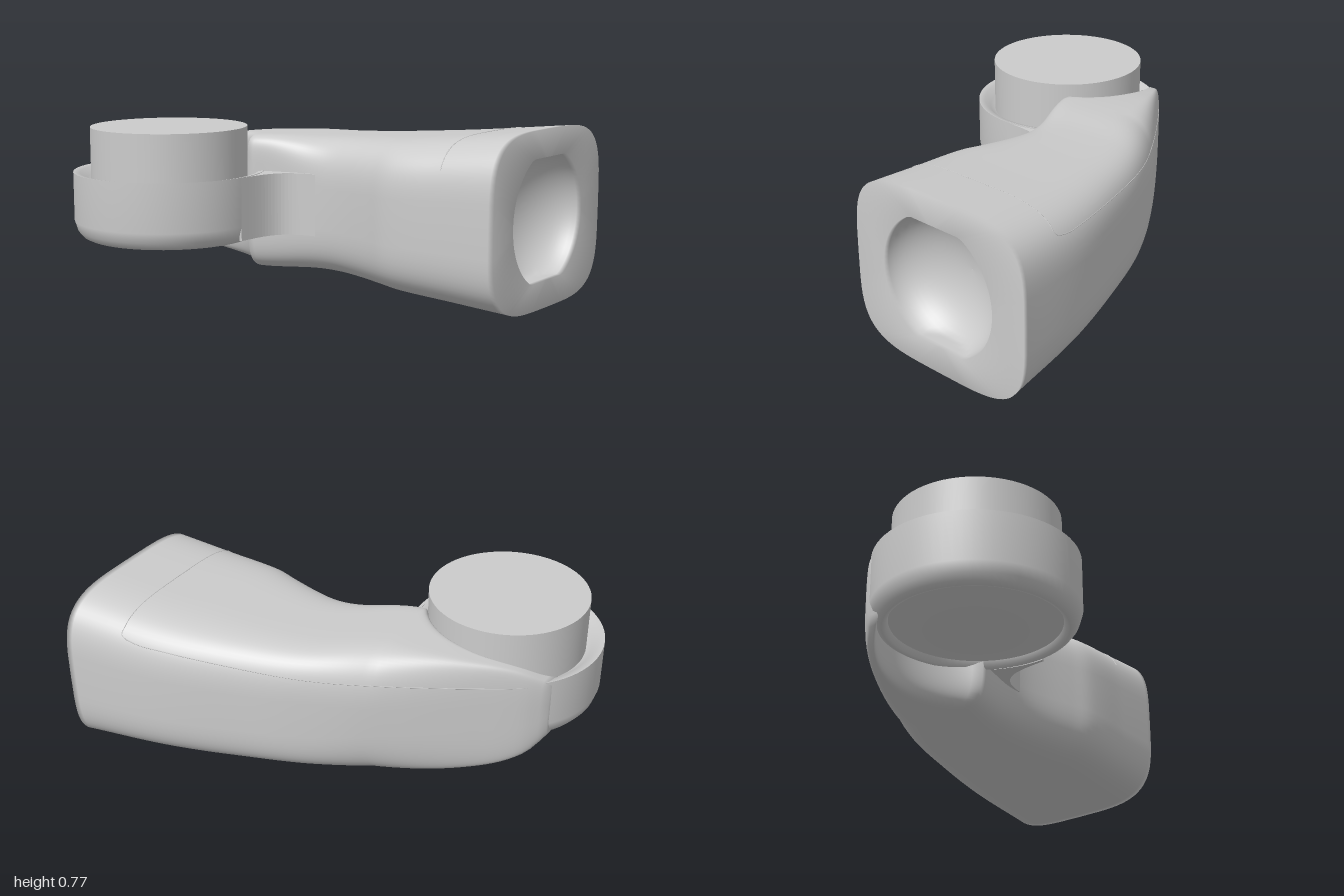
import * as THREE from 'three';

const mat = new THREE.MeshStandardMaterial({ color: 0xcccccc, side: THREE.DoubleSide });
const HUB = { x: -0.362, z: -0.566, r: 0.434 };
const SEGS = 72;

// Smooth lookup through [z, value] pairs in ascending z
function table(pairs) {
  const f = new THREE.CubicInterpolant(pairs.map(p => p[0]), pairs.map(p => p[1]), 1);
  return z => f.evaluate(z)[0];
}
const rightEdge = table([[-0.91, -0.08], [-0.85, -0.012], [-0.8, 0.03], [-0.68, 0.118], [-0.53, 0.225],
  [-0.4, 0.315], [-0.21, 0.438], [0, 0.54], [0.19, 0.61], [0.555, 0.72], [1, 0.792]]);
const innerEdge = table([[-0.28, -0.152], [-0.15, -0.112], [-0.03, -0.08], [0.08, -0.072], [0.2, -0.085],
  [0.38, -0.127], [0.45, -0.147], [0.5, -0.153], [0.75, -0.14], [1, -0.125]]);
const topEdge = table([[-0.91, 0.53], [-0.8, 0.61], [-0.6, 0.665], [-0.4, 0.69], [-0.2, 0.7], [0, 0.695],
  [0.5, 0.725], [1, 0.775]]);
const bottomEdge = table([[-0.91, 0.26], [-0.86, 0.195], [-0.8, 0.155], [-0.6, 0.1], [-0.3, 0.072],
  [0, 0.075], [0.5, 0.04], [1, 0]]);
// The back of the inner side is cut by an arc around the hub cap
const leftEdge = z => z > -0.28 ? innerEdge(z)
  : -0.325 + Math.sqrt(Math.max(0, 0.355 ** 2 - (z + 0.59) ** 2));

// Corner exponents: softer toward the back outside, sharper toward the back inside
const outerExp = z => 0.5 + 0.1 * THREE.MathUtils.smoothstep(-z, 0, 0.3);
const innerExp = (z, s) => 0.5 - (s > 0 ? 0.3 : 0.1) * THREE.MathUtils.smoothstep(-z, -0.15, 0.25);

// Point on the rounded-square cross-section of the body
function bodyPoint(z, t) {
  const l = leftEdge(z), r = rightEdge(z), b = bottomEdge(z), h = topEdge(z);
  const c = Math.cos(t), s = Math.sin(t);
  const e = c < 0 ? innerExp(z, s) : outerExp(z);
  const pw = v => Math.sign(v) * Math.abs(v) ** e;
  return new THREE.Vector3((l + r) / 2 + pw(c) * (r - l) / 2, (b + h) / 2 + pw(s) * (h - b) / 2, z);
}

const ring = f => Array.from({ length: SEGS }, (_, j) => f(j / SEGS * Math.PI * 2));

// Skin a list of closed rings
function loft(rings) {
  const pos = [], idx = [];
  rings.forEach(r => r.forEach(p => pos.push(p.x, p.y, p.z)));
  for (let i = 0; i < rings.length - 1; i++) {
    for (let j = 0; j < SEGS; j++) {
      const k = (j + 1) % SEGS;
      const a = i * SEGS + j, b = i * SEGS + k, c = a + SEGS, d = b + SEGS;
      idx.push(a, c, b, b, c, d);
    }
  }
  const g = new THREE.BufferGeometry();
  g.setAttribute('position', new THREE.Float32BufferAttribute(pos, 3));
  g.setIndex(idx);
  g.computeVertexNormals();
  return g;
}

function lathe(points) {
  return new THREE.LatheGeometry(points.map(p => new THREE.Vector2(...p)), 72);
}

export function createModel() {
  const model = new THREE.Group();
  const add = (name, geometry, parent = model) => {
    const mesh = new THREE.Mesh(geometry, mat);
    mesh.name = name;
    parent.add(mesh);
    return mesh;
  };

  // Curved body in one skin: concave front bowl, flat rim, long bent side walls, closed back tip
  const opening = (r, z) => ring(t => new THREE.Vector3(0.33 + r * Math.cos(t),
    0.388 + THREE.MathUtils.clamp(r * Math.sin(t), -0.267, 0.267), z));
  const rings = [];
  for (let i = 0; i <= 14; i++) {
    const a = i / 14 * Math.PI / 2;
    rings.push(opening(Math.max(0.001, 0.3 * Math.sin(a)), 1 - 0.2 * Math.cos(a)));
  }
  const N = 76;
  for (let i = 0; i <= N; i++) rings.push(ring(t => bodyPoint(1 - 1.91 * i / N, t)));
  rings.push(ring(() => new THREE.Vector3(-0.12, 0.395, -0.912)));
  add('body', loft(rings));

  // Round hub at the back end
  const hub = new THREE.Group();
  hub.name = 'hub';
  hub.position.set(HUB.x, 0, HUB.z);
  model.add(hub);
  add('hubRing', lathe([[0.355, 0.27], [0.365, 0.245], [0.38, 0.24], [0.4, 0.25], [0.42, 0.275], [HUB.r, 0.32],
    [HUB.r, 0.54]]), hub);
  add('hubLip', lathe([[HUB.r, 0.54], [0.405, 0.535], [0.378, 0.505], [0.35, 0.49]]), hub);
  add('hubUnderside', lathe([[0.215, 0.235], [0.355, 0.27]]), hub);
  add('hubBoss', lathe([[0, 0.235], [0.215, 0.235]]), hub);
  add('hubCap', new THREE.CylinderGeometry(0.355, 0.355, 0.28, 72), hub).position.y = 0.6;

  // Fillet joining hub and body
  const s = new THREE.Shape();
  s.moveTo(HUB.x, HUB.z + HUB.r);
  s.bezierCurveTo(-0.2, -0.13, -0.1, -0.13, -0.075, 0.05);
  s.lineTo(0.1, -0.1);
  s.absarc(HUB.x, HUB.z, 0.42, Math.PI * 0.15, Math.PI * 0.5, false);
  const web = new THREE.ExtrudeGeometry(s, { depth: 0.28, bevelEnabled: false, curveSegments: 20 });
  web.rotateX(Math.PI / 2);
  add('hubFillet', web).position.y = 0.538;

  // Fine seam of the top panel: along the outer side, then across the front
  const seam = [];
  for (let z = -0.84; z <= 0.66; z += 0.1) {
    const b = bottomEdge(z), h = topEdge(z), y = 0.59 + 0.066 * z;
    const v = THREE.MathUtils.clamp((2 * y - b - h) / (h - b), 0.05, 0.9);
    seam.push(bodyPoint(z, Math.asin(v ** (1 / outerExp(z)))));
  }
  for (let t = 0.6; t < 2.7; t += 0.15) seam.push(bodyPoint(0.74, t));
  add('panelSeam', new THREE.TubeGeometry(new THREE.CatmullRomCurve3(seam), 160, 0.002, 5));

  return model;
}
